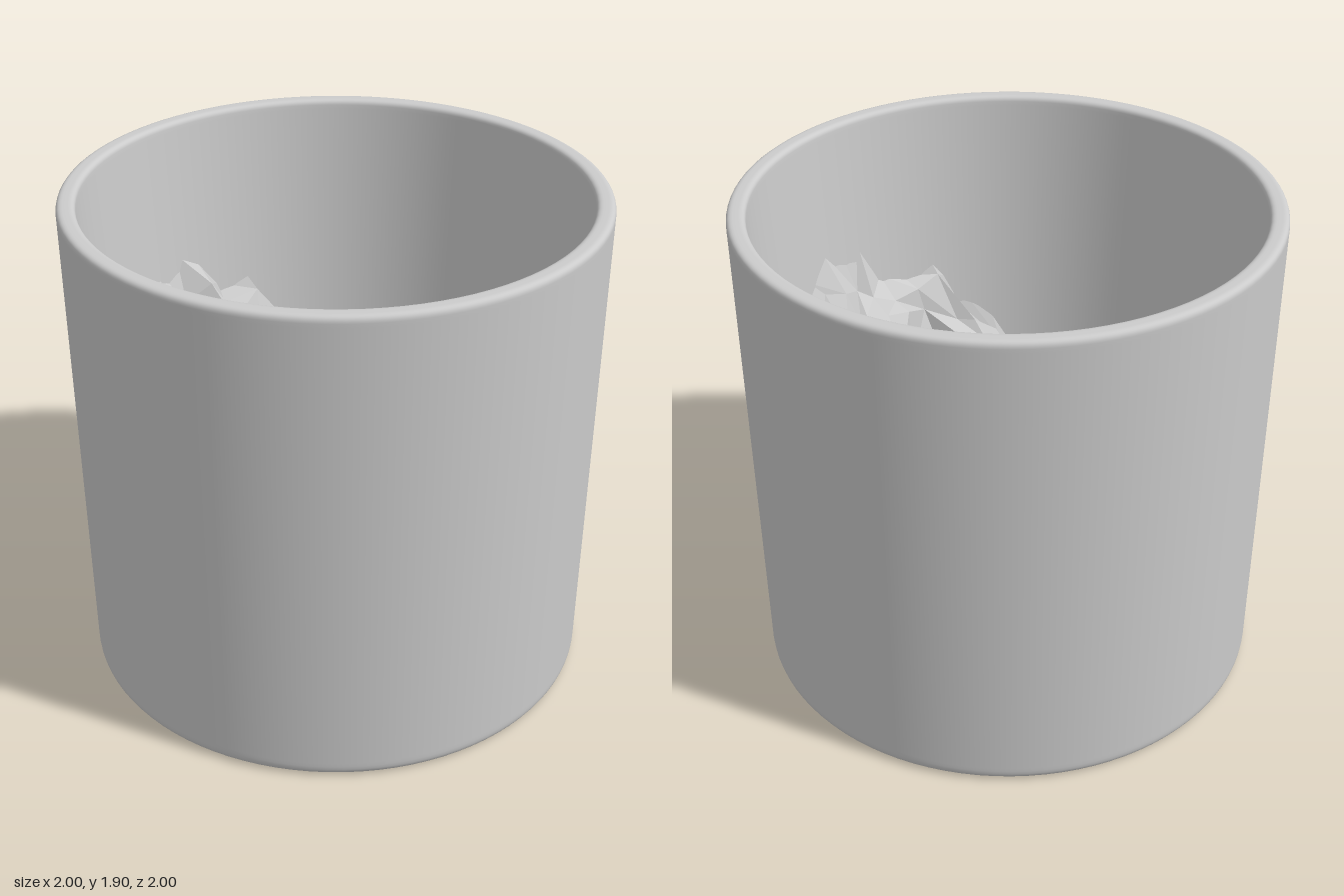
import * as THREE from 'three';

const FLOOR = 0.14;
const grey = new THREE.MeshStandardMaterial({ color: 0xcccccc, side: THREE.DoubleSide });
const rock = new THREE.MeshStandardMaterial({ color: 0xcccccc, flatShading: true, side: THREE.DoubleSide });

// inner radius of the cup at height y
const wallRadius = (y) => 0.815 + 0.115 * (y - FLOOR) / (1.88 - FLOOR);

// small seeded generator giving -1..1
function seeded(seed) {
  return () => {
    seed = (seed * 16807) % 2147483647;
    return (seed / 2147483647) * 2 - 1;
  };
}

// height of a polyline at x
function sample(points, x) {
  for (let i = 1; i < points.length; i++) {
    const [x0, y0] = points[i - 1], [x1, y1] = points[i];
    if (x <= x1) return y0 + (y1 - y0) * Math.max(0, (x - x0) / (x1 - x0));
  }
  return points[points.length - 1][1];
}

// one continuous profile: base, outer wall, rounded rim, inner wall, floor
function makeCup() {
  const p = new THREE.Path();
  p.moveTo(0, 0);
  p.lineTo(0.92, 0);
  p.lineTo(0.93, 0);
  p.quadraticCurveTo(0.97, 0, 0.971, 0.045);
  p.lineTo(0.9712, 0.06);
  p.lineTo(0.9995, 1.86);
  p.lineTo(1.0, 1.875);
  p.quadraticCurveTo(1.0, 1.9, 0.975, 1.9);
  p.lineTo(0.955, 1.9);
  p.quadraticCurveTo(0.932, 1.9, 0.93, 1.88);
  p.lineTo(0.929, 1.865);
  p.lineTo(0.819, FLOOR + 0.06);
  p.lineTo(0.818, FLOOR + 0.045);
  p.quadraticCurveTo(0.815, FLOOR, 0.77, FLOOR);
  p.lineTo(0.75, FLOOR);
  p.lineTo(0, FLOOR);
  const cup = new THREE.Mesh(new THREE.LatheGeometry(p.getPoints(6), 96), grey);
  cup.name = 'cup';
  return cup;
}

// jagged slope rising from the foot line up to the cup wall; side is -1 (back) or 1 (front)
function makeSlope(name, side, foot, seed) {
  const cols = 17, rows = 9, rnd = seeded(seed);
  const pos = [], index = [];
  for (let j = 0; j <= rows; j++) {
    for (let i = 0; i <= cols; i++) {
      const inner = j > 0 && j < rows;
      let x = -0.79 + 1.58 * i / cols;
      const start = sample(foot, x);
      const end = Math.sqrt(0.9 * 0.9 - x * x);
      let z = start + (end - start) * j / rows;
      let y = FLOOR - 0.02;
      if (j > 0) y = FLOOR + 0.1 + 1.58 * (z - start) + 0.08 * rnd();
      if (inner) {
        x += 0.04 * rnd();
        z += 0.035 * rnd();
      }
      // keep the rock inside the cup, its outer edge sunk into the wall
      const limit = wallRadius(y) + 0.02, r = Math.hypot(x, z);
      const k = r > limit || j === rows ? limit / r : 1;
      pos.push(x * k, y, z * k * side);
    }
  }
  const quad = (a, b, c, d) => (side < 0 ? index.push(a, b, c, a, c, d) : index.push(a, c, b, a, d, c));
  for (let j = 0; j < rows; j++) {
    for (let i = 0; i < cols; i++) {
      const a = j * (cols + 1) + i, b = a + 1, d = a + cols + 1, c = d + 1;
      if (rnd() > 0) quad(a, b, c, d);
      else quad(b, c, d, a);
    }
  }
  const geo = new THREE.BufferGeometry();
  geo.setAttribute('position', new THREE.Float32BufferAttribute(pos, 3));
  geo.setIndex(index);
  const flat = geo.toNonIndexed();
  flat.computeVertexNormals();
  const mesh = new THREE.Mesh(flat, rock);
  mesh.name = name;
  return mesh;
}

export function createModel() {
  const group = new THREE.Group();
  group.name = 'cupWithRockySlopes';
  group.add(makeCup());
  group.add(makeSlope('backRocks', -1, [
    [-0.79, 0.25], [-0.65, 0.25], [-0.45, 0.16], [-0.2, 0.14], [-0.1, 0.23],
    [0.15, 0.18], [0.3, 0.24], [0.4, 0.19], [0.6, 0.24], [0.79, 0.31],
  ], 1271));
  group.add(makeSlope('frontRocks', 1, [
    [-0.79, 0.15], [-0.7, 0.12], [-0.48, 0.13], [-0.4, 0.22], [-0.22, 0.19],
    [0, 0.19], [0.17, 0.28], [0.3, 0.17], [0.45, 0.23], [0.62, 0.28], [0.79, 0.23],
  ], 90417));
  return group;
}
